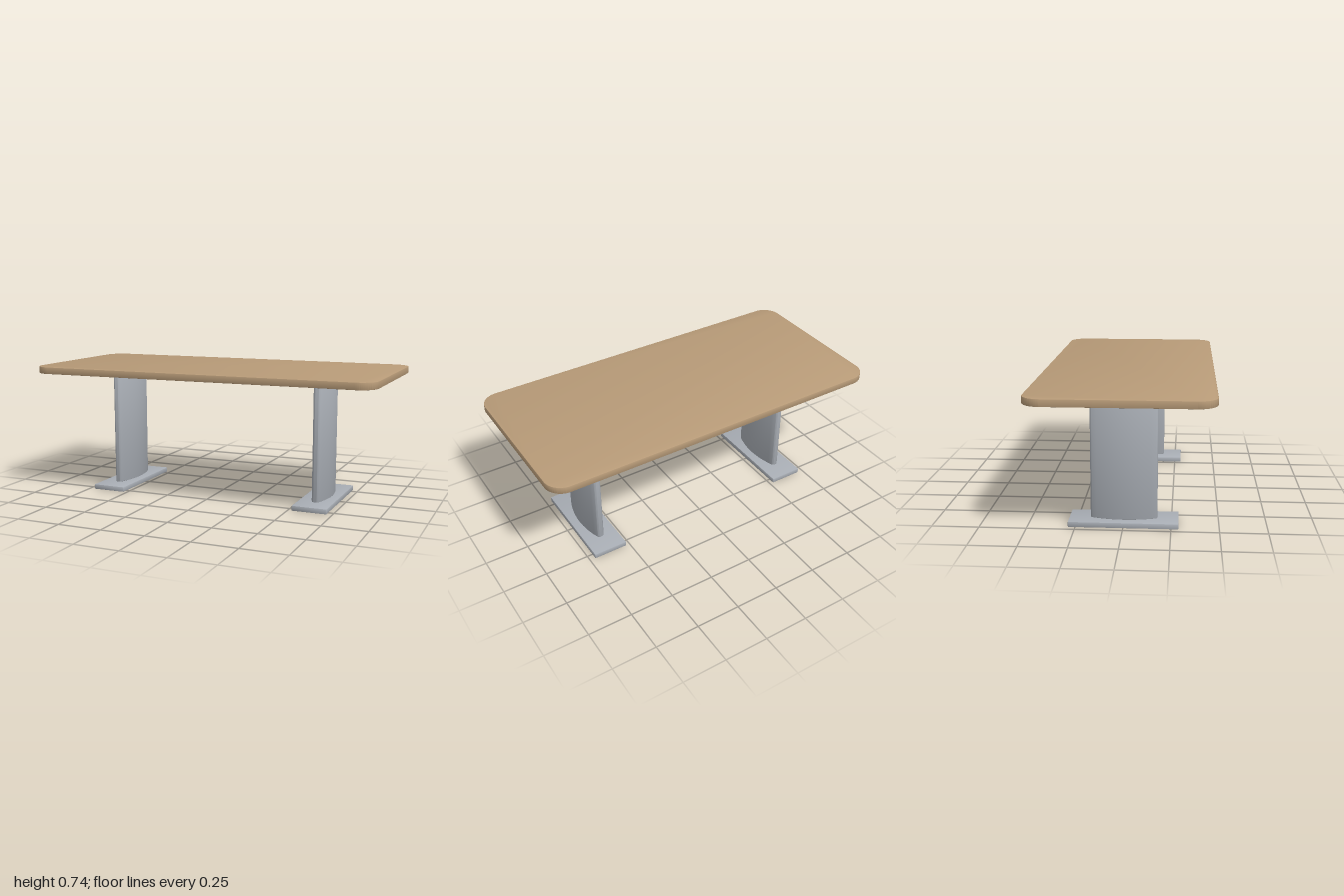
import * as THREE from 'three';
import { toCreasedNormals } from 'three/addons/utils/BufferGeometryUtils.js';

const wood = new THREE.MeshStandardMaterial({ name: 'oak', color: 0xb89b78 });
const darkWood = new THREE.MeshStandardMaterial({ name: 'darkUnderside', color: 0x75543c });
const metal = new THREE.MeshStandardMaterial({ name: 'greyMetal', color: 0xa9aeb5 });

// Extrude a floor-plan outline from y0 to y1 with a small eased edge.
function slab(name, shape, y0, y1, bevel, material) {
  let geo = new THREE.ExtrudeGeometry(shape, {
    depth: y1 - y0 - 2 * bevel,
    bevelEnabled: bevel > 0,
    bevelThickness: bevel,
    bevelSize: bevel,
    bevelOffset: -bevel,
    bevelSegments: 2,
    curveSegments: 16,
  });
  geo.rotateX(-Math.PI / 2);
  geo.translate(0, y0 + bevel, 0);
  geo = toCreasedNormals(geo, 0.6);
  const mesh = new THREE.Mesh(geo, material);
  mesh.name = name;
  return mesh;
}

// Rectangle with rounded corners, given as half sizes.
function roundedRect(hx, hz, r) {
  const s = new THREE.Shape();
  s.absarc(hx - r, hz - r, r, 0, Math.PI / 2);
  s.absarc(-hx + r, hz - r, r, Math.PI / 2, Math.PI);
  s.absarc(-hx + r, -hz + r, r, Math.PI, Math.PI * 1.5);
  s.absarc(hx - r, -hz + r, r, Math.PI * 1.5, Math.PI * 2);
  return s;
}

// Lens-shaped column section with blunt, rounded ends.
function columnSection() {
  const s = new THREE.Shape();
  s.moveTo(0.022, -0.162);
  s.quadraticCurveTo(0.078, 0, 0.022, 0.162);
  s.bezierCurveTo(0.0175, 0.175, 0.008, 0.177, 0, 0.177);
  s.bezierCurveTo(-0.008, 0.177, -0.0175, 0.175, -0.022, 0.162);
  s.quadraticCurveTo(-0.078, 0, -0.022, -0.162);
  s.bezierCurveTo(-0.0175, -0.175, -0.008, -0.177, 0, -0.177);
  s.bezierCurveTo(0.008, -0.177, 0.0175, -0.175, 0.022, -0.162);
  return s;
}

function box(name, w, y0, y1, d, material) {
  const mesh = new THREE.Mesh(new THREE.BoxGeometry(w, y1 - y0, d), material);
  mesh.position.y = (y0 + y1) / 2;
  mesh.name = name;
  return mesh;
}

export function createModel() {
  const table = new THREE.Group();
  table.name = 'table';

  // Top and the recessed panel beneath it
  table.add(slab('tableTop', roundedRect(1, 0.473, 0.1), 0.703, 0.742, 0.003, wood));
  table.add(box('undersidePanel', 1.82, 0.694, 0.704, 0.78, darkWood));

  // Two pedestals
  for (const side of [-1, 1]) {
    const leg = new THREE.Group();
    leg.name = side > 0 ? 'leftPedestal' : 'rightPedestal';
    leg.position.x = side * 0.62;
    leg.add(slab('foot', roundedRect(0.098, 0.288, 0.004), 0, 0.028, 0.002, metal));
    leg.add(slab('column', columnSection(), 0.028, 0.692, 0.003, metal));
    leg.add(box('mountingPlate', 0.15, 0.69, 0.695, 0.414, metal));
    table.add(leg);
  }
  return table;
}
